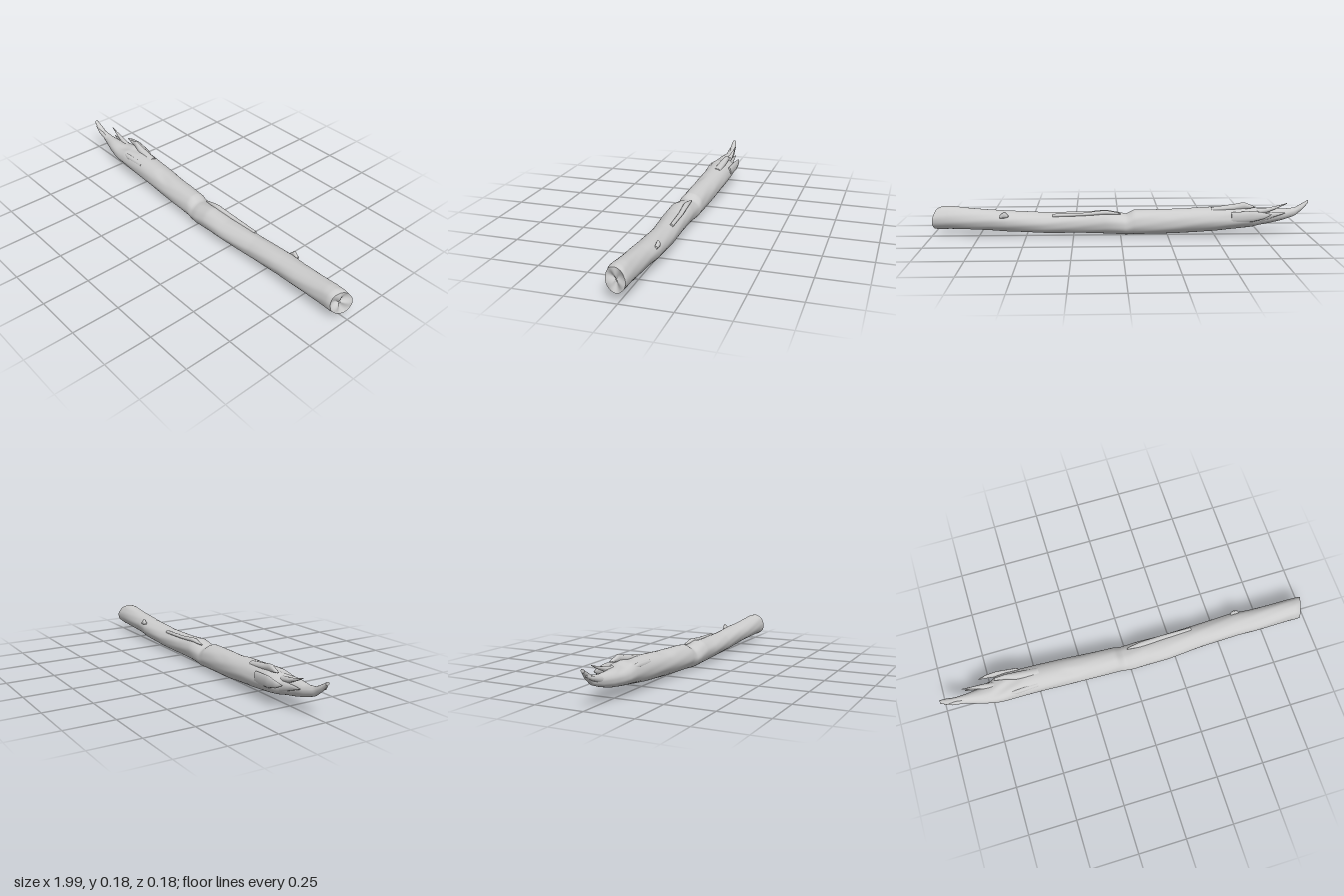
import * as THREE from 'three';

// Stations along the log: x, bottom y, top y, back z, front z
const TRUNK = [
  [-1.0, 0.172, 0.19, -0.008, 0.012], [-0.97, 0.137, 0.172, -0.016, 0.016],
  [-0.93, 0.104, 0.15, -0.018, 0.014], [-0.87, 0.083, 0.142, -0.025, 0.028],
  [-0.8, 0.066, 0.146, -0.035, 0.048], [-0.74, 0.057, 0.147, -0.055, 0.061],
  [-0.7, 0.05, 0.152, -0.08, 0.066], [-0.65, 0.044, 0.163, -0.085, 0.067],
  [-0.5, 0.028, 0.158, -0.081, 0.066], [-0.3, 0.015, 0.147, -0.073, 0.07],
  [-0.07, 0.007, 0.139, -0.06, 0.074], [-0.03, 0.005, 0.117, -0.057, 0.077],
  [0.01, 0.007, 0.126, -0.055, 0.084], [0.08, 0.011, 0.139, -0.053, 0.086],
  [0.2, 0.016, 0.129, -0.051, 0.085], [0.4, 0.018, 0.13, -0.055, 0.071],
  [0.6, 0.029, 0.141, -0.057, 0.071], [0.7, 0.036, 0.147, -0.046, 0.075],
  [0.8, 0.039, 0.155, -0.042, 0.075], [0.9, 0.041, 0.165, -0.038, 0.076],
  [0.95, 0.04, 0.165, -0.036, 0.078], [0.97, 0.043, 0.157, -0.035, 0.076],
];

// Torn shards and stubs, in the same station format
const SHARDS = {
  tipProng: [[-0.985, 0.15, 0.165, 0.006, 0.014], [-0.95, 0.13, 0.15, 0.004, 0.022], [-0.87, 0.1, 0.135, 0, 0.026]],
  raisedSplinter: [[-0.88, 0.176, 0.18, -0.035, -0.031], [-0.84, 0.156, 0.168, -0.038, -0.026],
    [-0.78, 0.13, 0.155, -0.042, -0.016], [-0.7, 0.11, 0.145, -0.04, 0]],
  sideSplinter: [[-0.87, 0.125, 0.13, -0.042, -0.038], [-0.8, 0.1, 0.13, -0.045, -0.025], [-0.72, 0.07, 0.13, -0.06, -0.02]],
  backBark: [[-0.79, 0.125, 0.13, -0.08, -0.076], [-0.75, 0.105, 0.14, -0.092, -0.076],
    [-0.69, 0.09, 0.148, -0.094, -0.07], [-0.58, 0.08, 0.14, -0.084, -0.06]],
  topBark: [[-0.71, 0.158, 0.163, -0.05, -0.035], [-0.65, 0.148, 0.187, -0.05, -0.024],
    [-0.6, 0.14, 0.176, -0.05, -0.01], [-0.48, 0.13, 0.158, -0.045, 0]],
  frontFlake: [[-0.68, 0.132, 0.138, 0.04, 0.046], [-0.62, 0.115, 0.146, 0.03, 0.058], [-0.5, 0.11, 0.143, 0.02, 0.052]],
  topRidge: [[0, 0.12, 0.128, -0.02, -0.012], [0.08, 0.12, 0.144, -0.03, 0], [0.2, 0.115, 0.132, -0.035, -0.01],
    [0.36, 0.11, 0.128, -0.035, -0.015]],
  twigStub: [[0.59, 0.115, 0.125, -0.05, -0.035], [0.61, 0.11, 0.146, -0.056, -0.036], [0.635, 0.11, 0.125, -0.052, -0.035]],
};

function sample(stations, x) {
  let i = 0;
  while (i < stations.length - 2 && x > stations[i + 1][0]) i++;
  const a = stations[i], b = stations[i + 1];
  const t = (x - a[0]) / (b[0] - a[0]);
  return a.map((v, k) => v + (b[k] - v) * t);
}

// One point of the oval cross-section; wear roughens the wood
function sectionPoint(stations, x, angle, wear) {
  const [, low, high, back, front] = sample(stations, x);
  const c = Math.cos(angle), s = Math.sin(angle);
  const torn = THREE.MathUtils.smoothstep(-x, 0, 0.6) * Math.max(0, c);
  const ripple = Math.sin(angle * 5 + x * 4) * 0.5 + Math.sin(angle * 3 - x * 13) * 0.5
    + Math.sin(angle * 9 + x * 21) * 0.35;
  const gouge = Math.max(0, Math.sin(angle * 4 + Math.sin(x * 9) * 1.5)) * Math.max(0, Math.sin(x * 17 + angle));
  const r = 1 - wear * (0.02 - 0.02 * ripple + torn * (0.13 * gouge + 0.03 * ripple));
  const y = (low + high) / 2 + c * r * (high - low) / 2;
  const z = (back + front) / 2 + s * r * (front - back) / 2;
  // the sawn end slopes away towards the lower back
  const slope = wear * THREE.MathUtils.smoothstep(x, 0.85, 0.97);
  return [x + slope * (-0.36 * (z - 0.02) - 0.15 * (y - 0.1)), y, z];
}

// Skin rows of closed rings; each row has the same number of points
function skin(rows) {
  const n = rows[0].length, index = [];
  for (let i = 0; i < rows.length - 1; i++) {
    for (let j = 0; j < n; j++) {
      const a = i * n + j, b = i * n + (j + 1) % n;
      index.push(a, b, a + n, b, b + n, a + n);
    }
  }
  const geometry = new THREE.BufferGeometry();
  geometry.setAttribute('position', new THREE.Float32BufferAttribute(rows.flat(2), 3));
  geometry.setIndex(index);
  geometry.computeVertexNormals();
  return geometry;
}

function ring(stations, x, sides, wear) {
  return Array.from({ length: sides }, (_, j) => sectionPoint(stations, x, j / sides * Math.PI * 2, wear));
}

function loft(stations, steps, sides, wear) {
  const x0 = stations[0][0], x1 = stations[stations.length - 1][0];
  const xs = Array.from({ length: steps + 1 }, (_, i) => x0 + (x1 - x0) * i / steps);
  const rows = xs.map((x) => ring(stations, x, sides, wear));
  return rows;
}

// Shrink a ring to its centre, with a shallow uneven dish
function endFace(edge, direction, depth) {
  const centre = [0, 1, 2].map((k) => edge.reduce((sum, p) => sum + p[k], 0) / edge.length);
  const rows = [1, 0.88, 0.65, 0.4, 0.18, 0].map((f) => edge.map((p, j) => {
    const q = p.map((v, k) => centre[k] + (v - centre[k]) * f);
    const angle = j / edge.length * Math.PI * 2;
    q[0] += direction * depth * ((1 - f) * -1.2 + f * (1 - f) * 2.5 * Math.sin(angle * 3 + 1));
    return q;
  }));
  return skin(direction > 0 ? rows : rows.reverse());
}

export function createModel() {
  const log = new THREE.Group();
  log.name = 'brokenLog';
  const wood = new THREE.MeshStandardMaterial({ color: 0xcccccc });
  wood.name = 'paleGreyWood';
  const add = (name, geometry) => {
    const mesh = new THREE.Mesh(geometry, wood);
    mesh.name = name;
    log.add(mesh);
  };

  // Main trunk and its two ends
  const trunk = loft(TRUNK, 180, 48, 1);
  add('trunk', skin(trunk));
  add('rightEndFace', endFace(trunk[trunk.length - 1], 1, 0.012));
  add('tornTip', endFace(trunk[0], -1, 0));

  // Splinters, loose bark and the twig stub
  for (const [name, stations] of Object.entries(SHARDS)) {
    const rows = loft(stations, 20, 10, 0);
    add(name, skin(rows));
    add(name + 'Tip', endFace(rows[0], -1, 0));
    add(name + 'Root', endFace(rows[rows.length - 1], 1, 0));
  }
  return log;
}
